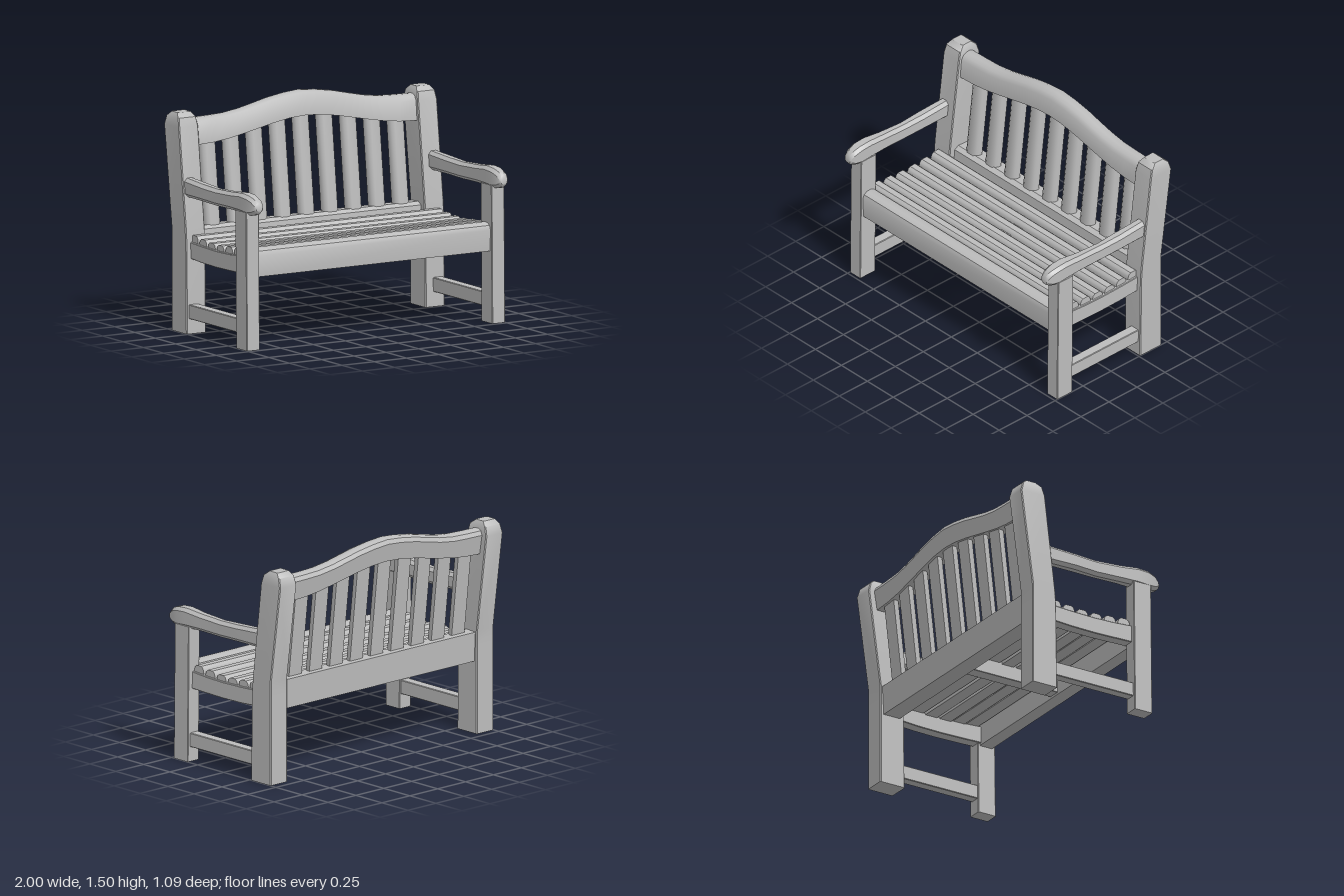
import * as THREE from 'three';
import { toCreasedNormals } from 'three/addons/utils/BufferGeometryUtils.js';

const wood = new THREE.MeshStandardMaterial({ color: 0xbcbcbc });
wood.name = 'grey wood';

// Solid through a row of closed cross-sections, capped at both ends
function loft(rings) {
  const n = rings[0].length, pts = rings.flat(), index = [];
  for (let r = 0; r < rings.length - 1; r++) {
    for (let i = 0; i < n; i++) {
      const a = r * n + i, b = r * n + (i + 1) % n;
      index.push(a, b, b + n, a, b + n, a + n);
    }
  }
  const last = (rings.length - 1) * n;
  for (let i = 1; i < n - 1; i++) {
    index.push(0, i + 1, i, last, last + i, last + i + 1);
  }
  // Turn the faces outwards if the sections ran the other way
  const v = pts.map((p) => new THREE.Vector3(...p));
  let volume = 0;
  for (let i = 0; i < index.length; i += 3) {
    volume += v[index[i]].dot(v[index[i + 1]].clone().cross(v[index[i + 2]]));
  }
  if (volume < 0) index.reverse();
  const geo = new THREE.BufferGeometry();
  geo.setAttribute('position', new THREE.Float32BufferAttribute(pts.flat(), 3));
  geo.setIndex(index);
  return toCreasedNormals(geo, 0.6);
}

// Rectangle with cut corners, as [u, v] pairs
function chamfered(u0, u1, v0, v1, c) {
  return [[u0 + c, v0], [u1 - c, v0], [u1, v0 + c], [u1, v1 - c],
    [u1 - c, v1], [u0 + c, v1], [u0, v1 - c], [u0, v0 + c]];
}

// Flat-bottomed slat section with a rounded face
function domed(w, h) {
  return [[-w, 0], [w, 0], [w, h * 0.4], [w * 0.85, h * 0.72], [w * 0.5, h * 0.95],
    [-w * 0.5, h * 0.95], [-w * 0.85, h * 0.72], [-w, h * 0.4]];
}

// Straight interpolation through [x, y] points
function along(table, x) {
  const i = Math.max(1, table.findIndex((p) => p[0] >= x));
  const [a, b] = [table[i - 1], table[i]];
  return a[1] + (b[1] - a[1]) * (x - a[0]) / (b[0] - a[0]);
}

export function createModel() {
  const model = new THREE.Group();
  model.name = 'gardenBench';
  const add = (name, rings) => {
    const mesh = new THREE.Mesh(loft(rings), wood);
    mesh.name = name;
    model.add(mesh);
  };

  for (const s of [1, -1]) {
    const side = s > 0 ? 'left' : 'right';

    // Back post: upright to the seat, then leaning back to a rounded top
    add(side + 'BackPost', [
      [0, -0.45, -0.26, 0.85, 1], [0.6, -0.45, -0.267, 0.85, 1], [0.7, -0.45, -0.275, 0.85, 1],
      [1.36, -0.54, -0.355, 0.85, 1], [1.42, -0.523, -0.372, 0.857, 0.993],
      [1.45, -0.49, -0.41, 0.875, 0.975],
    ].map(([y, z0, z1, x0, x1]) =>
      chamfered(x0, x1, z0, z1, 0.006).map(([x, z]) => [s * x, y, z])));

    // Front leg
    add(side + 'FrontLeg', [[0, 0.345], [0.92, 0.335]].map(([y, z0]) =>
      chamfered(0.9, 1, z0, y ? 0.47 : 0.48, 0.004).map(([x, z]) => [s * x, y, z])));

    // Armrest with a dipped top and a rounded nose
    add(side + 'Armrest', [
      [-0.34, 0.905, 1.03, 0.905, 0.985], [-0.1, 0.905, 1.018, 0.905, 0.99],
      [0.06, 0.9, 1.012, 0.91, 0.985], [0.25, 0.905, 1.022, 0.907, 0.99],
      [0.38, 0.905, 1.035, 0.9, 0.997], [0.46, 0.9, 1.03, 0.9, 0.997],
      [0.51, 0.905, 1.015, 0.905, 0.99], [0.54, 0.92, 0.99, 0.915, 0.98],
      [0.55, 0.935, 0.965, 0.925, 0.97],
    ].map(([z, y0, y1, x0, x1]) =>
      chamfered(x0, x1, y0, y1, Math.min(0.022, (y1 - y0) * 0.3)).map(([x, y]) => [s * x, y, z])));

    // Side seat rail, slightly dished
    add(side + 'SeatRail', [
      [-0.3, 0.5, 0.61], [-0.13, 0.49, 0.602], [0.05, 0.487, 0.598], [0.2, 0.49, 0.602], [0.38, 0.495, 0.615],
    ].map(([z, y0, y1]) => chamfered(0.885, 0.965, y0, y1, 0.004).map(([x, y]) => [s * x, y, z])));

    // Low stretcher between the legs
    add(side + 'Stretcher', [-0.3, 0.38].map((z) =>
      chamfered(0.91, 0.98, 0.1, 0.195, 0.004).map(([x, y]) => [s * x, y, z])));
  }

  // Front rail with rounded top, also the first seat board
  const frontRail = [[0.48, 0.355], [0.48, 0.45], [0.62, 0.457], [0.65, 0.445],
    [0.665, 0.42], [0.667, 0.385], [0.65, 0.352]];
  add('frontRail', [-0.92, 0.92].map((x) => frontRail.map(([y, z]) => [x, y, z])));

  // Lower back rail
  const backRail = [[0.49, -0.3], [0.49, -0.425], [0.69, -0.435], [0.695, -0.35], [0.675, -0.318]];
  add('lowerBackRail', [-0.88, 0.88].map((x) => backRail.map(([y, z]) => [x, y, z])));

  // Middle support under the seat
  add('centreSupport', [-0.38, 0.37].map((z) =>
    chamfered(-0.045, 0.045, 0.495, 0.605, 0.003).map(([x, y]) => [x, y, z])));

  // Seat slats following the dished rails
  [[-0.243, 0.605], [-0.138, 0.595], [-0.033, 0.588], [0.075, 0.588], [0.182, 0.597], [0.29, 0.607]]
    .forEach(([z, y]) => add('seatSlat', [-0.95, 0.95].map((x) =>
      domed(0.044, 0.052).map(([u, v]) => [x, y + v, z + u]))));

  // Arched top rail
  const arch = [[0, 1.505, 1.345], [0.12, 1.495, 1.338], [0.25, 1.475, 1.318], [0.38, 1.446, 1.292],
    [0.48, 1.425, 1.272], [0.6, 1.408, 1.25], [0.72, 1.403, 1.236], [0.9, 1.4, 1.228]];
  const fullArch = [...arch.slice(1).reverse().map(([x, t, b]) => [-x, t, b]), ...arch];
  add('topRail', fullArch.map(([x, top, bottom]) => [
    [bottom, -0.055], [bottom, 0.055], [top - 0.04, 0.06], [top - 0.012, 0.042], [top, 0.015],
    [top, -0.015], [top - 0.012, -0.042], [top - 0.04, -0.06],
  ].map(([y, z]) => [x, y, z - 0.45 - 0.13 * (y - 1.45)])));

  // Upright back slats, reaching up into the arch
  const archBottom = arch.map(([x, , b]) => [x, b]);
  for (let i = -4; i <= 4; i++) {
    const x = i * 0.1825, top = along(archBottom, Math.abs(x)) + 0.02;
    add('backSlat', [0.67, top].map((y) =>
      domed(0.057, 0.058).map(([u, v]) => [x + u, y, v - 0.395 - 0.115 * (y - 0.67)])));
  }
  return model;
}
